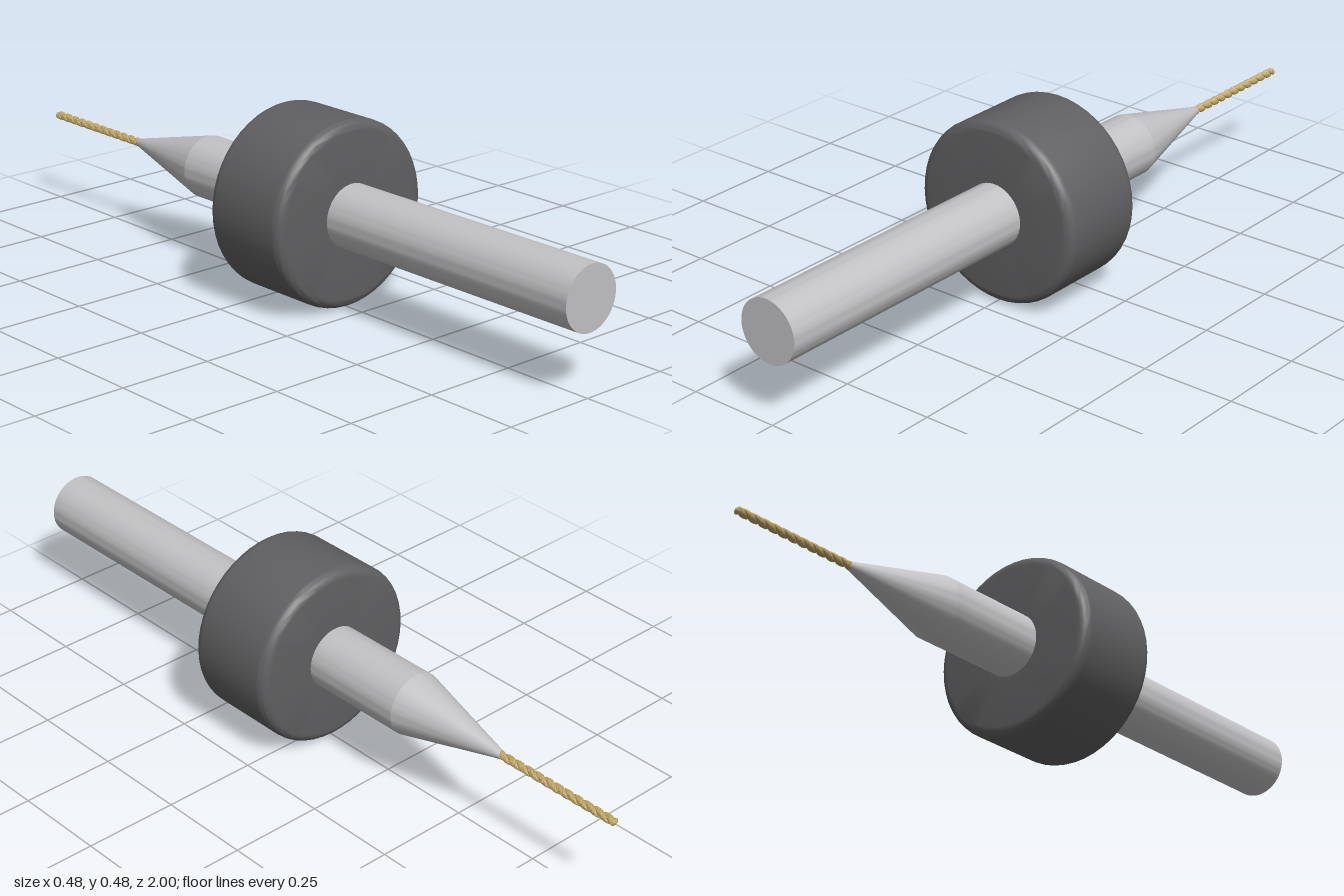
import * as THREE from 'three';
import { toCreasedNormals } from 'three/addons/utils/BufferGeometryUtils.js';

const AXIS_Y = 0.242;

// Solid of revolution about z; profile is [radius, z] from back to front
function turned(profile, segments) {
  const geo = new THREE.LatheGeometry(profile.map(([r, z]) => new THREE.Vector2(r, z)), segments);
  geo.rotateX(Math.PI / 2);
  return toCreasedNormals(geo, 0.6);
}

// Twisted two-flute bit with a small point at the back end
function twistDrill(z0, z1, radius, turns) {
  const sides = 16, steps = 120, tip = 0.006;
  const pos = [], index = [];
  for (let i = 0; i <= steps; i++) {
    const t = i / steps;
    for (let j = 0; j < sides; j++) {
      const a = (j / sides) * Math.PI * 2;
      const r = radius * (0.62 + 0.38 * Math.sqrt(Math.abs(Math.cos(a))));
      const b = a + t * turns * Math.PI * 2;
      pos.push(r * Math.cos(b), r * Math.sin(b), z0 + tip + t * (z1 - z0 - tip));
    }
  }
  for (let i = 0; i < steps; i++) {
    for (let j = 0; j < sides; j++) {
      const k = (j + 1) % sides;
      const a = i * sides + j, b = i * sides + k, c = a + sides, d = b + sides;
      index.push(a, b, d, a, d, c);
    }
  }
  pos.push(0, 0, z0);
  const point = pos.length / 3 - 1;
  for (let j = 0; j < sides; j++) index.push(point, (j + 1) % sides, j);
  const geo = new THREE.BufferGeometry();
  geo.setAttribute('position', new THREE.Float32BufferAttribute(pos, 3));
  geo.setIndex(index);
  return toCreasedNormals(geo, 0.7);
}

export function createModel() {
  const steel = new THREE.MeshStandardMaterial({ color: 0xc2c2c4 });
  steel.name = 'steel';
  const plastic = new THREE.MeshStandardMaterial({ color: 0x606062 });
  plastic.name = 'darkPlastic';
  const brass = new THREE.MeshStandardMaterial({ color: 0xbfa661 });
  brass.name = 'gold';

  const group = new THREE.Group();
  group.name = 'drillBit';
  const add = (name, geo, mat) => {
    const mesh = new THREE.Mesh(geo, mat);
    mesh.name = name;
    mesh.position.y = AXIS_Y;
    group.add(mesh);
  };

  // Straight shank and its conical nose
  add('shank', turned([[0, -0.34], [0.083, -0.34], [0.083, 1], [0, 1]], 64), steel);
  add('taper', turned([[0, -0.635], [0.01, -0.635], [0.083, -0.34]], 64), steel);

  // Depth collar with rounded rims
  const back = -0.052, front = 0.21, R = 0.242, round = 0.026, profile = [[0.08, back]];
  for (let i = 0; i <= 6; i++) {
    const a = (i / 6) * Math.PI / 2;
    profile.push([R - round + round * Math.sin(a), back + round - round * Math.cos(a)]);
  }
  for (let i = 0; i <= 6; i++) {
    const a = (i / 6) * Math.PI / 2;
    profile.push([R - round + round * Math.cos(a), front - round + round * Math.sin(a)]);
  }
  profile.push([0.08, front]);
  add('collar', turned(profile, 48), plastic);

  // Fluted cutting end
  add('flutedBit', twistDrill(-1, -0.62, 0.0115, 6), brass);
  return group;
}
